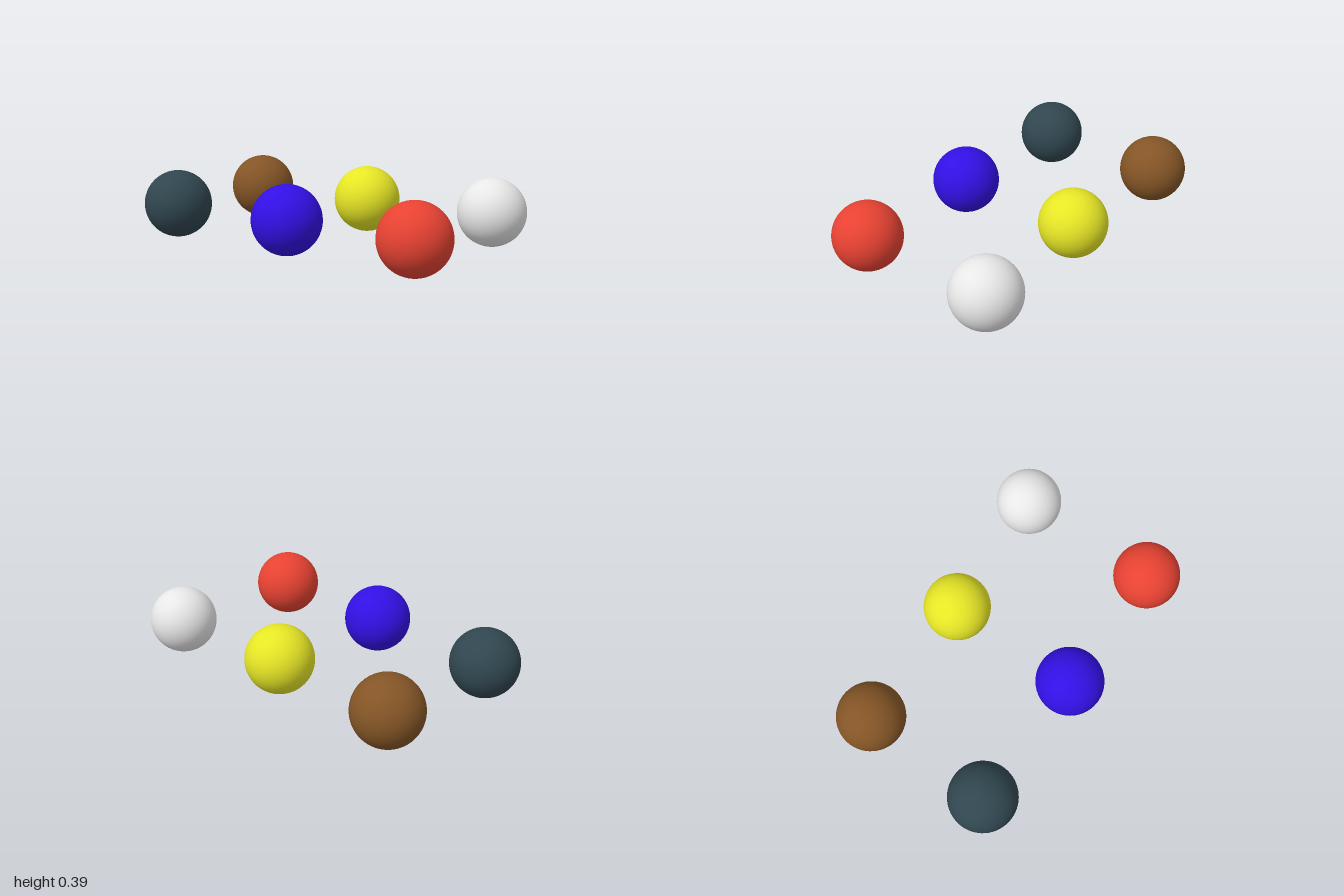
import * as THREE from 'three';

const RADIUS = 0.194;

// name, colour, x, z
const BALLS = [
  ['slateBall', 0x30464f, -0.806, 0.4],
  ['blueBall', 0x3210e4, 0.008, 0.417],
  ['redBall', 0xe74232, 0.806, 0.419],
  ['brownBall', 0x845526, -0.798, -0.37],
  ['yellowBall', 0xe6e626, 0.007, -0.367],
  ['whiteBall', 0xe7e7e7, 0.806, -0.419],
];

export function createModel() {
  const group = new THREE.Group();
  group.name = 'balls';
  const sphere = new THREE.SphereGeometry(RADIUS, 64, 32);

  // Two rows of three balls resting on the ground
  for (const [name, color, x, z] of BALLS) {
    const material = new THREE.MeshStandardMaterial({ color });
    material.name = name.replace('Ball', '');
    const ball = new THREE.Mesh(sphere, material);
    ball.name = name;
    ball.position.set(x, RADIUS, z);
    group.add(ball);
  }
  return group;
}
